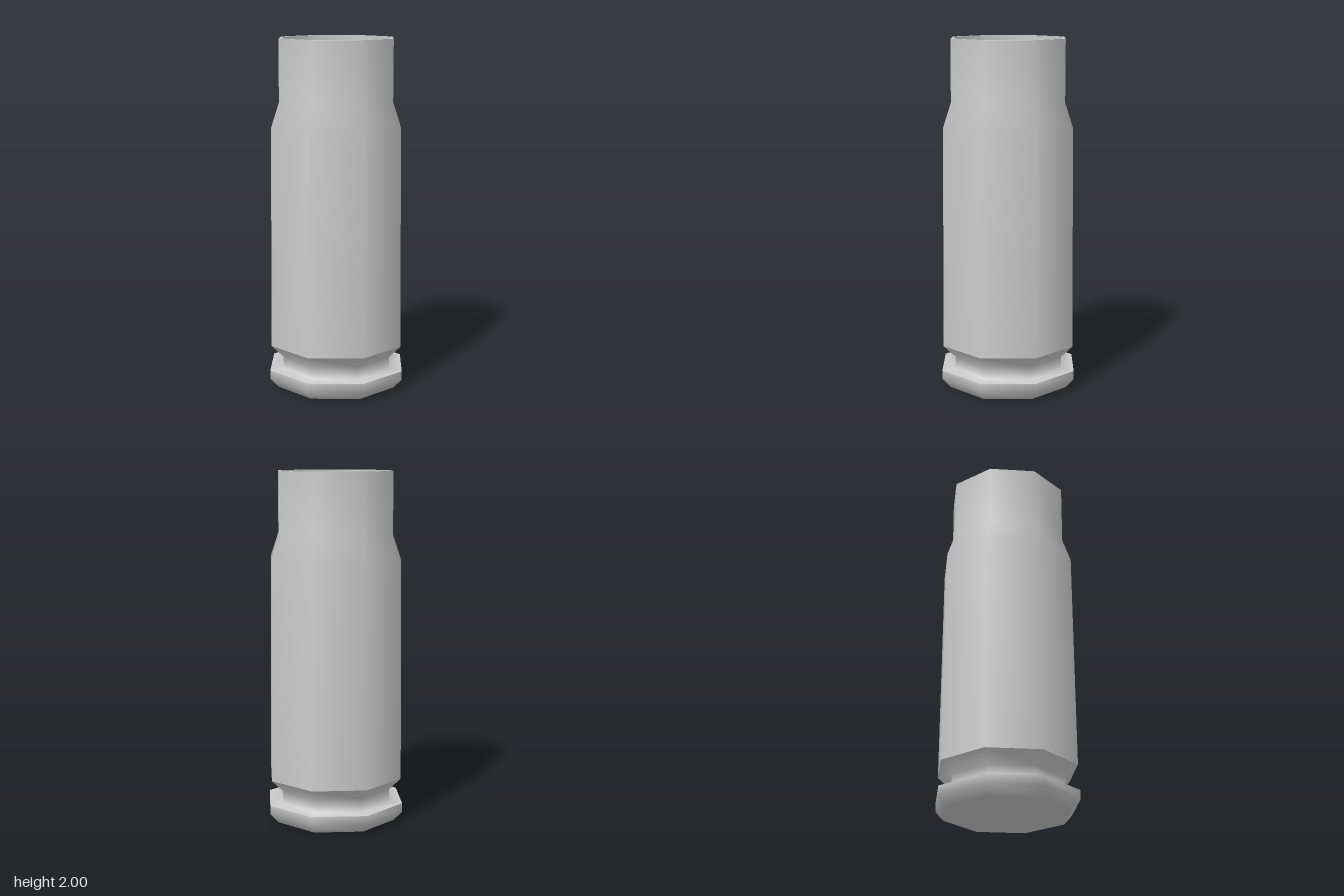
import * as THREE from 'three';

const SIDES = 8;

export function createModel() {
  const group = new THREE.Group();
  const material = new THREE.MeshStandardMaterial({ color: 0xcccccc });

  // Revolves an [radius, height] profile into an eight-sided part
  function turned(name, profile) {
    const points = profile.map(([r, y]) => new THREE.Vector2(r, y));
    const mesh = new THREE.Mesh(new THREE.LatheGeometry(points, SIDES), material);
    mesh.name = name;
    group.add(mesh);
  }

  // Base flange with chamfered underside
  turned('baseFlange', [[0, 0], [0.36, 0], [0.41, 0.055], [0.41, 0.105]]);

  // Flange top and the groove above it
  turned('extractorGroove', [[0.41, 0.105], [0.33, 0.108], [0.33, 0.18], [0.4, 0.25]]);

  // Slightly tapered body, shoulder and neck
  turned('caseBody', [[0.4, 0.25], [0.39, 1.51], [0.342, 1.65], [0.342, 2]]);

  // Flat lip around the open mouth
  turned('mouthLip', [[0.342, 2], [0.325, 2]]);

  // Hollow interior down to a closed floor
  turned('innerCavity', [[0.325, 2], [0.325, 0.25], [0, 0.25]]);

  return group;
}
